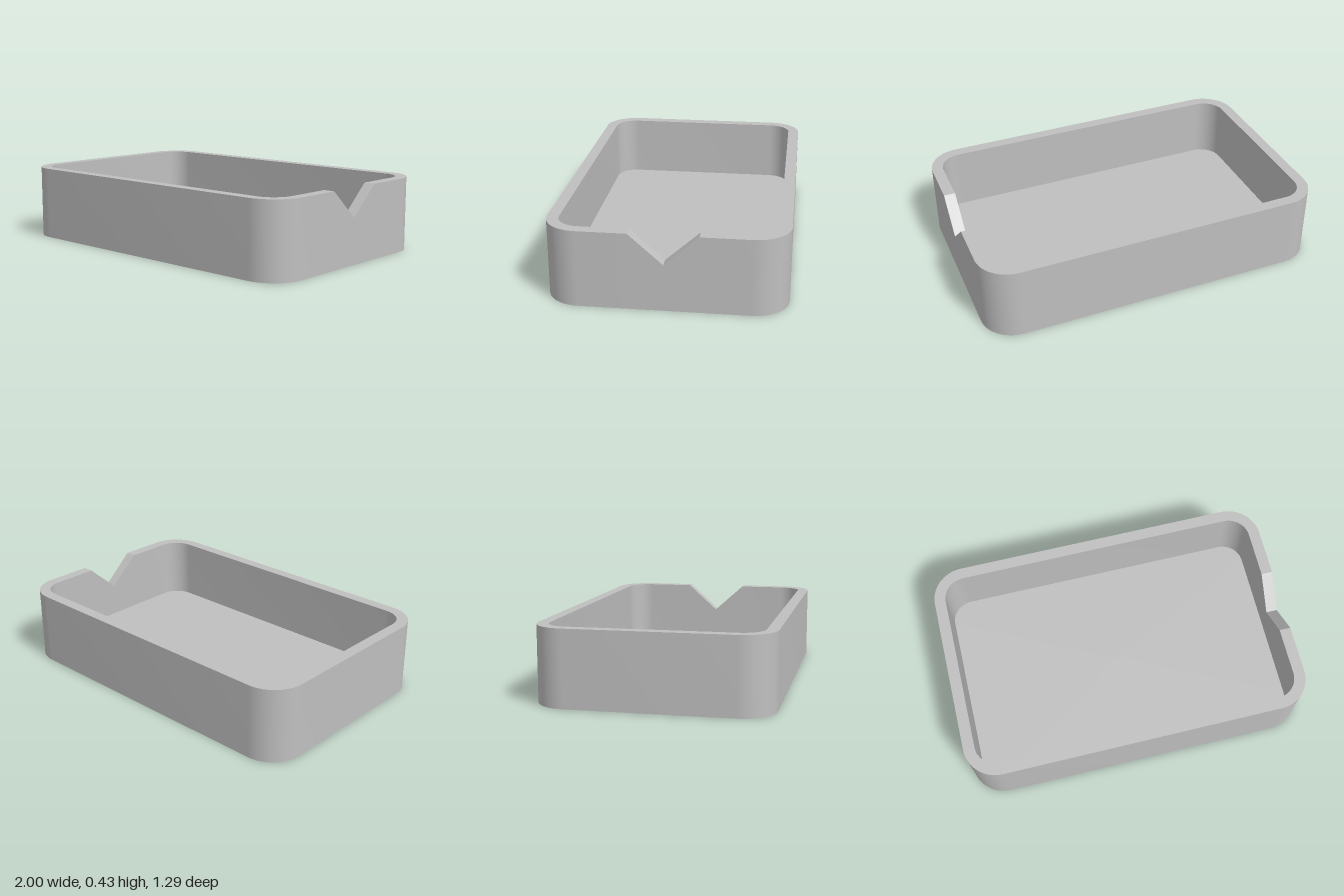
import * as THREE from 'three';
import { toCreasedNormals } from 'three/addons/utils/BufferGeometryUtils.js';

const HALF_X = 1, HALF_Z = 0.645, HEIGHT = 0.425;
const RADIUS = 0.19, WALL = 0.065, FLOOR = 0.065;
const NOTCH_HALF = 0.185, NOTCH_Y = 0.26, ARC_STEPS = 16;

// Stations around the rim: outer point, inner point and wall height
function rimStations() {
  const stations = [];
  const notch = (z, top) => stations.push({ outer: [HALF_X, z], inner: [HALF_X - WALL, z], top });
  notch(0, NOTCH_Y);
  notch(NOTCH_HALF, HEIGHT);
  [[1, 1], [-1, 1], [-1, -1], [1, -1]].forEach(([sx, sz], corner) => {
    const cx = sx * (HALF_X - RADIUS), cz = sz * (HALF_Z - RADIUS);
    for (let i = 0; i <= ARC_STEPS; i++) {
      const a = (corner + i / ARC_STEPS) * Math.PI / 2;
      const at = r => [cx + r * Math.cos(a), cz + r * Math.sin(a)];
      stations.push({ outer: at(RADIUS), inner: at(RADIUS - WALL), top: HEIGHT });
    }
  });
  notch(-NOTCH_HALF, HEIGHT);
  return stations;
}

// Section from underside centre, up the outside, over the rim and down to the floor centre
function section({ outer, inner, top }) {
  return [
    [0, 0, 0],
    [outer[0], 0, outer[1]],
    [outer[0], top, outer[1]],
    [inner[0], top, inner[1]],
    [inner[0], FLOOR, inner[1]],
    [0, FLOOR, 0],
  ];
}

function trayGeometry() {
  const sections = rimStations().map(section);
  const positions = [];
  const tri = (...corners) => corners.forEach(c => positions.push(...c));
  sections.forEach((s, i) => {
    const n = sections[(i + 1) % sections.length];
    const last = s.length - 2;
    for (let j = 0; j <= last; j++) {
      // The two centre points close each cap with a single triangle
      if (j < last) tri(s[j], s[j + 1], n[j + 1]);
      if (j > 0) tri(s[j], n[j + 1], n[j]);
    }
  });
  const geometry = new THREE.BufferGeometry();
  geometry.setAttribute('position', new THREE.Float32BufferAttribute(positions, 3));
  return toCreasedNormals(geometry, 0.5);
}

export function createModel() {
  const grey = new THREE.MeshStandardMaterial({ color: 0xbfbfbf });
  grey.name = 'light grey';
  const tray = new THREE.Mesh(trayGeometry(), grey);
  tray.name = 'notchedTray';
  const model = new THREE.Group();
  model.name = 'tray';
  model.add(tray);
  return model;
}
